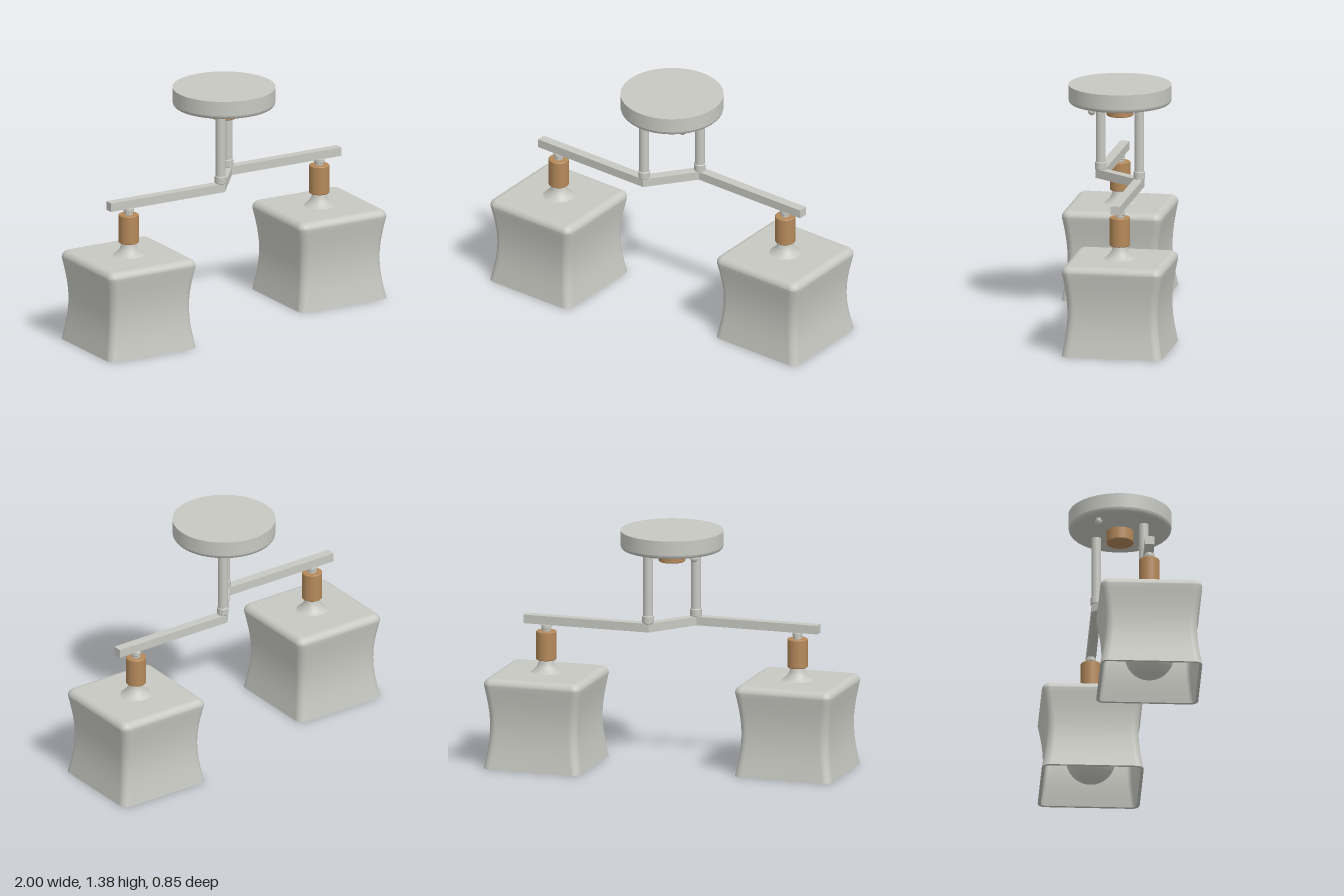
import * as THREE from 'three';

const metal = new THREE.MeshStandardMaterial({ color: 0xc8c8c2 });
metal.name = 'satin grey';
const wood = new THREE.MeshStandardMaterial({ color: 0xb5895a });
wood.name = 'warm wood';

const BEND_X = 0.1, ARM_Z = 0.13, LAMP_X = 0.708;

function mesh(name, geometry, material, parent) {
  const m = new THREE.Mesh(geometry, material);
  m.name = name;
  parent.add(m);
  return m;
}

// Turned part from [radius, y] pairs, bottom to top; a repeated pair makes a crease
function turned(name, pts, material, parent, segments = 40) {
  const profile = pts.map(([r, y]) => new THREE.Vector2(r, y));
  return mesh(name, new THREE.LatheGeometry(profile, segments), material, parent);
}

// Cylinder with slightly eased rims
function rod(name, r, y0, y1, material, parent, b = 0.004) {
  return turned(name, [[0, y0], [r - b, y0], [r - b, y0], [r, y0 + b], [r, y0 + b],
    [r, y1 - b], [r, y1 - b], [r - b, y1], [r - b, y1], [0, y1]], material, parent);
}

// Surface through rounded-square rings [half width, corner radius, y]
function squareLoft(rings) {
  const positions = [], index = [], steps = 8, n = 4 * (steps + 1);
  for (const [h, r, y] of rings) {
    for (let c = 0; c < 4; c++) {
      const mid = Math.PI / 4 + c * Math.PI / 2;
      const cx = Math.sign(Math.cos(mid)) * (h - r), cz = Math.sign(Math.sin(mid)) * (h - r);
      for (let s = 0; s <= steps; s++) {
        const a = (c + s / steps) * Math.PI / 2;
        positions.push(cx + r * Math.cos(a), y, cz + r * Math.sin(a));
      }
    }
  }
  for (let j = 0; j < rings.length - 1; j++) {
    for (let i = 0; i < n; i++) {
      const a = j * n + i, b = j * n + (i + 1) % n;
      index.push(a, a + n, b, b, a + n, b + n);
    }
  }
  const g = new THREE.BufferGeometry();
  g.setAttribute('position', new THREE.Float32BufferAttribute(positions, 3));
  g.setIndex(index);
  g.computeVertexNormals();
  return g;
}

// Pinched square shade, open at the bottom
function addShade(parent) {
  const H = 0.29, SHOULDER = 0.485, TOP = 0.525, WALL = 0.018, R = 0.045;
  const half = y => H - 0.028 * Math.sin(Math.PI * Math.min(1, y / SHOULDER));
  const outer = [], inner = [];
  for (let i = 0; i <= 16; i++) {
    const y = SHOULDER * i / 16;
    outer.push([half(y), R, y]);
    inner.unshift([half(y) - WALL, R - WALL, y]);
  }
  for (let i = 1; i <= 8; i++) {
    const a = i / 8 * Math.PI / 2, e = TOP - SHOULDER;
    outer.push([H - e * (1 - Math.cos(a)), R - (e - 0.01) * (1 - Math.cos(a)), SHOULDER + e * Math.sin(a)]);
  }
  outer.push([0.24, 0.01, TOP], [0.03, 0.005, TOP]);
  inner.unshift([0.03, 0.005, TOP - WALL], [0.25, 0.015, TOP - WALL], [H - WALL - 0.006, 0.024, TOP - WALL - 0.006]);
  mesh('shadeOutside', squareLoft(outer), metal, parent);
  mesh('shadeInside', squareLoft(inner), metal, parent);
  mesh('shadeRim', squareLoft([[H - WALL, R - WALL, 0], [H, R, 0]]), metal, parent);
}

// Hanging lamp: stem, wooden socket, flared neck, shade and bulb
function createLamp() {
  const lamp = new THREE.Group();
  rod('stem', 0.025, 0.755, 0.805, metal, lamp, 0.002);
  rod('stemCollar', 0.029, 0.778, 0.803, metal, lamp, 0.003);
  rod('socket', 0.058, 0.598, 0.765, wood, lamp);
  turned('neck', [[0.093, 0.523], [0.08, 0.531], [0.066, 0.543], [0.053, 0.56],
    [0.044, 0.578], [0.039, 0.602]], metal, lamp);
  addShade(lamp);

  // Round bulb with tapering neck
  const bulb = [], r = 0.14, cy = 0.165;
  for (let i = 0; i <= 20; i++) {
    const a = -Math.PI / 2 + i / 20 * Math.PI * 0.8;
    bulb.push([Math.max(0, r * Math.cos(a)), cy + r * Math.sin(a)]);
  }
  bulb.push([0.065, 0.32], [0.05, 0.37], [0.045, 0.51]);
  turned('bulb', bulb, metal, lamp);
  return lamp;
}

export function createModel() {
  const model = new THREE.Group();
  model.name = 'ceilingLight';

  // Ceiling canopy and wooden boss
  turned('canopy', [[0, 1.268], [0.272, 1.268], [0.272, 1.268], [0.283, 1.271], [0.29, 1.279],
    [0.293, 1.29], [0.293, 1.29], [0.293, 1.375], [0.293, 1.375], [0, 1.375]], metal, model, 64);
  rod('canopyBoss', 0.077, 1.195, 1.27, wood, model);

  // Zigzag arm with mitred bends
  const w = 0.027, end = 0.838;
  const m = w * Math.tan(Math.atan2(ARM_Z, BEND_X) / 2);
  const plan = new THREE.Shape([
    [-end, -ARM_Z - w], [-BEND_X + m, -ARM_Z - w], [BEND_X + m, ARM_Z - w], [end, ARM_Z - w],
    [end, ARM_Z + w], [BEND_X - m, ARM_Z + w], [-BEND_X - m, -ARM_Z + w], [-end, -ARM_Z + w],
  ].map(([x, y]) => new THREE.Vector2(x, y)));
  const arm = new THREE.ExtrudeGeometry(plan, { depth: 0.05, bevelEnabled: false });
  arm.rotateX(-Math.PI / 2);
  mesh('arm', arm, metal, model).position.y = 0.804;

  // Posts, screws and lamps on both sides
  for (const s of [-1, 1]) {
    const side = s > 0 ? 'left' : 'right';
    const post = new THREE.Group();
    post.name = side + 'Post';
    rod('tube', 0.028, 0.85, 1.27, metal, post, 0.001);
    rod('collar', 0.033, 0.852, 0.898, metal, post);
    post.position.set(s * BEND_X, 0, -s * ARM_Z);
    model.add(post);

    const screw = turned(side + 'CanopyScrew', [[0, 1.227], [0.01, 1.23], [0.018, 1.237], [0.021, 1.248],
      [0.021, 1.248], [0.021, 1.254], [0.021, 1.254], [0.015, 1.256], [0.015, 1.256], [0.015, 1.27]], metal, model, 20);
    screw.position.set(s * 0.175, 0, s * ARM_Z);

    const lamp = createLamp();
    lamp.name = side + 'Lamp';
    lamp.position.set(s * LAMP_X, 0, -s * (ARM_Z + 0.003));
    model.add(lamp);
  }
  return model;
}
